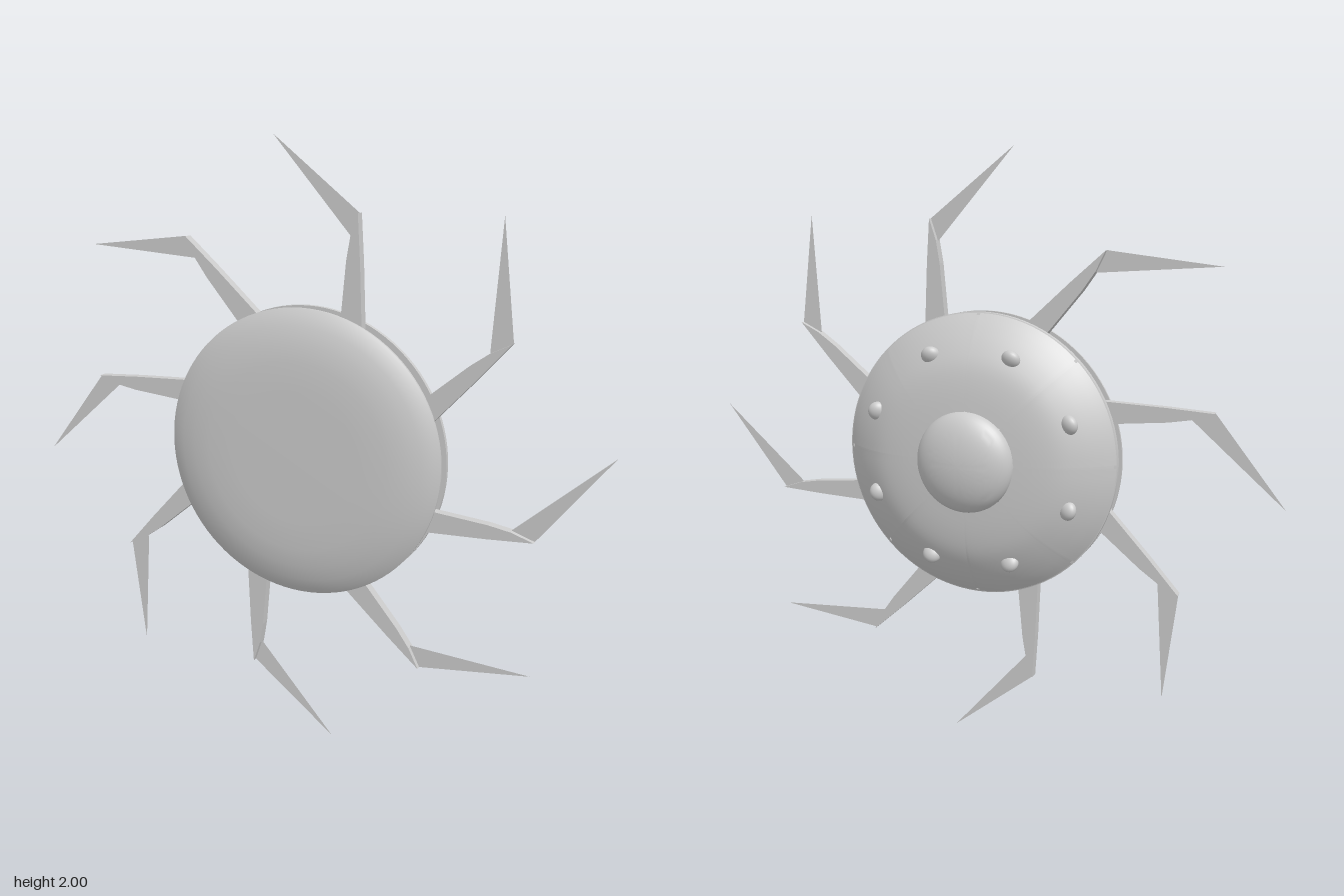
import * as THREE from 'three';
import { toCreasedNormals } from 'three/addons/utils/BufferGeometryUtils.js';

const COUNT = 8;
const STEP = (Math.PI * 2) / COUNT;
const v2 = ([x, y]) => new THREE.Vector2(x, y);

// Lathe turned so that its axis runs along z; profile points are [radius, z], back to front
function latheZ(points, segments, start = 0, length = Math.PI * 2, crease = 0.6) {
  const geo = new THREE.LatheGeometry(points.map(v2), segments, start, length);
  geo.rotateX(Math.PI / 2);
  return toCreasedNormals(geo, crease);
}

export function createModel() {
  const material = new THREE.MeshStandardMaterial({ color: 0xcccccc });
  const thin = new THREE.MeshStandardMaterial({ color: 0xcccccc, side: THREE.DoubleSide });
  const model = new THREE.Group();
  const add = (name, geo, mat = material, parent = model) => {
    const mesh = new THREE.Mesh(geo, mat);
    mesh.name = name;
    parent.add(mesh);
    return mesh;
  };

  // Smooth front plate with a rounded rim
  add('frontPlate', latheZ([
    [0, 0.096], [0.474, 0.096], [0.474, 0.104], [0.455, 0.117], [0.42, 0.132],
    [0.37, 0.145], [0.31, 0.153], [0.22, 0.155], [0, 0.155],
  ], 96));

  // Recessed hub that carries the arms
  add('hub', latheZ([[0, 0.045], [0.45, 0.045], [0.45, 0.1], [0, 0.1]], 96));

  // Domed back shell: an inner skin, a rim, and eight panels parted by narrow grooves
  const curve = new THREE.SplineCurve([
    [0.15, -0.087], [0.24, -0.079], [0.315, -0.063], [0.38, -0.032], [0.435, 0.005], [0.472, 0.037],
  ].map(v2));
  const outer = curve.getPoints(18).map((p) => [p.x, p.y]);
  const inner = outer.map(([r, z]) => [r - 0.004, z + 0.008]);
  add('innerShell', latheZ([[0, -0.079], ...inner, [0.468, 0.052], [0, 0.052]], 96));
  add('shellRim', latheZ([[0.465, 0.034], [0.475, 0.038], [0.475, 0.053], [0.44, 0.053]], 96), thin);
  const gap = 0.024;
  for (let i = 0; i < COUNT; i++) {
    add('shellPanel', latheZ([...outer, ...inner.slice().reverse()], 12, i * STEP + gap / 2, STEP - gap), thin);
  }

  // Central dome on the back
  const dome = [];
  for (let i = 0; i <= 14; i++) {
    const a = (i / 14) * Math.PI / 2;
    dome.push([0.167 * Math.sin(a), -0.081 - 0.074 * Math.cos(a)]);
  }
  add('dome', latheZ(dome, 64));

  // Ring of studs, one in the middle of each panel
  for (let i = 0; i < COUNT; i++) {
    const a = (i + 0.5) * STEP;
    const stud = add('stud', new THREE.SphereGeometry(0.032, 24, 16));
    stud.position.set(0.363 * Math.cos(a), 0.363 * Math.sin(a), -0.037);
    stud.scale.z = 0.7;
    // Tilt each stud to follow the slope of the shell
    stud.rotation.set(0, 0.5, a, 'ZYX');
  }

  // Bent arms, each ending in a thin claw
  const armGeo = new THREE.ExtrudeGeometry(new THREE.Shape([
    [0.125, 0.38], [0.205, 0.38], [0.203, 0.433], [0.196, 0.62],
    [0.187, 0.77], [0.163, 0.7], [0.15, 0.626], [0.134, 0.46],
  ].map(v2)), { depth: 0.032, bevelEnabled: false });
  armGeo.translate(0, 0, 0.064);
  const clawGeo = new THREE.ShapeGeometry(new THREE.Shape(
    [[0.187, 0.77], [-0.102, 0.998], [0.16, 0.698], [0.188, 0.706]].map(v2)));
  clawGeo.translate(0, 0, 0.08);
  for (let i = 0; i < COUNT; i++) {
    const limb = new THREE.Group();
    limb.name = 'limb';
    limb.rotation.z = i * STEP;
    add('arm', armGeo, material, limb);
    add('claw', clawGeo, thin, limb);
    model.add(limb);
  }

  // Raise everything so that the lowest claw touches the ground
  model.children.forEach((part) => { part.position.y += 1; });
  return model;
}
